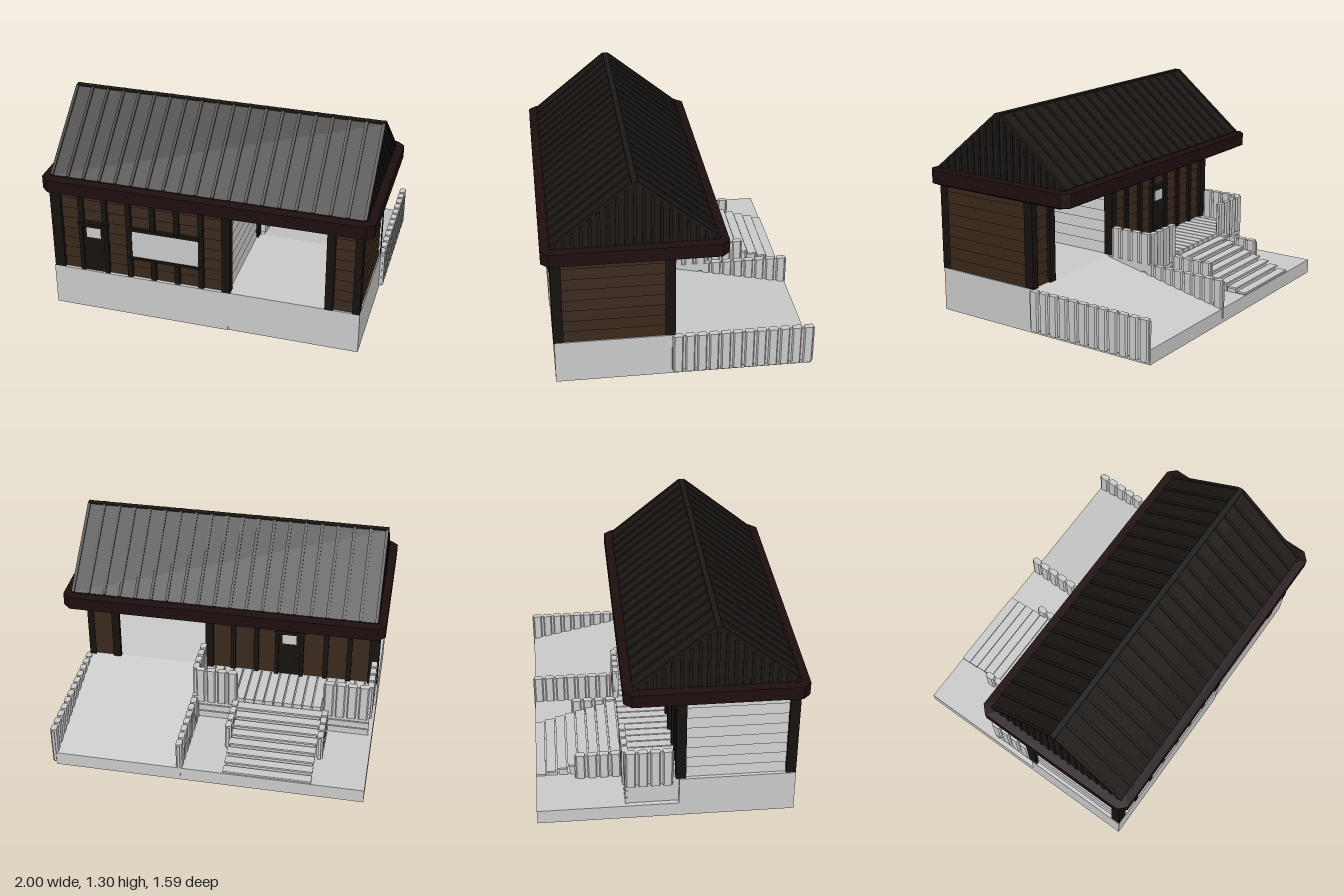
import * as THREE from 'three';

const mat = (color) => new THREE.MeshStandardMaterial({ color, flatShading: true });
const GREY = mat(0xcccccc), WOOD = mat(0x37261a), TIMBER = mat(0x16120f);
const ROOF = mat(0x1c1815), FASCIA = mat(0x1e0e0f);

function add(parent, name, geometry, material) {
  const m = new THREE.Mesh(geometry, material);
  m.name = name;
  parent.add(m);
  return m;
}

// Box given by its limits on each axis
function box(parent, name, material, x0, x1, y0, y1, z0, z1) {
  const m = add(parent, name, new THREE.BoxGeometry(x1 - x0, y1 - y0, z1 - z0), material);
  m.position.set((x0 + x1) / 2, (y0 + y1) / 2, (z0 + z1) / 2);
  return m;
}

// Solid with a (z, y) side profile, running along x
function sideProfile(parent, name, material, points, x0, x1) {
  const shape = new THREE.Shape(points.map(([z, y]) => new THREE.Vector2(-z, y)));
  const g = new THREE.ExtrudeGeometry(shape, { depth: x1 - x0, bevelEnabled: false });
  g.rotateY(Math.PI / 2);
  const m = add(parent, name, g, material);
  m.position.x = x0;
  return m;
}

// Outward face of lapped boards, centred on (x, z) and turned by angle
function siding(parent, name, material, width, x, z, angle, y0 = 0.28, y1 = 0.84, n = 8) {
  const h = y1 - y0, g = new THREE.PlaneGeometry(width, h, 1, 2 * n), p = g.attributes.position;
  for (let i = 0; i < p.count; i++) {
    const row = i >> 1;
    p.setY(i, h / 2 - ((row + 1) >> 1) * h / n);
    p.setZ(i, row % 2 ? 0.008 : 0);
  }
  const m = add(parent, name, g, material);
  m.position.set(x, (y0 + y1) / 2, z);
  m.rotation.y = angle;
}

// Fence of bevelled upright boards on a thin panel, from (x0, z0) to (x1, z1)
function fence(parent, name, x0, z0, x1, z1, y0, y1) {
  const f = new THREE.Group();
  f.name = name;
  const len = Math.hypot(x1 - x0, z1 - z0), n = Math.round(len / 0.07), step = len / n;
  box(f, 'fencePanel', GREY, 0, len, y0 + 0.01, y1 - 0.01, -0.008, 0.008);
  const a = step * 0.4, b = step * 0.3, d = 0.019;
  const outline = [[-a, -0.008], [-b, -d], [b, -d], [a, -0.008], [a, 0.008], [b, d], [-b, d], [-a, 0.008]];
  const shape = new THREE.Shape(outline.map(([x, y]) => new THREE.Vector2(x, y)));
  const g = new THREE.ExtrudeGeometry(shape, { depth: y1 - y0, bevelEnabled: false });
  g.rotateX(-Math.PI / 2);
  for (let i = 0; i < n; i++) add(f, 'fenceBoard', g, GREY).position.set((i + 0.5) * step, y0, 0);
  f.position.set(x0, 0, z0);
  f.rotation.y = Math.atan2(z0 - z1, x1 - x0);
  parent.add(f);
}

// Door with frame, leaf, small pane and knob; side is +1 for front, -1 for back
function door(parent, name, x, z, side) {
  const d = new THREE.Group();
  d.name = name;
  box(d, 'doorLeaf', TIMBER, -0.08, 0.08, 0.28, 0.6, -0.01, 0.012);
  for (const s of [-1, 1]) box(d, 'doorJamb', TIMBER, s * 0.08 - 0.012, s * 0.08 + 0.012, 0.28, 0.61, -0.01, 0.026);
  box(d, 'doorHead', TIMBER, -0.095, 0.095, 0.595, 0.62, -0.01, 0.028);
  box(d, 'doorPane', GREY, -0.045, 0.045, 0.52, 0.59, 0, 0.018);
  add(d, 'doorKnob', new THREE.SphereGeometry(0.008, 8, 6), TIMBER).position.set(0.05, 0.42, 0.018);
  d.position.set(x, 0, z);
  if (side < 0) d.rotation.y = Math.PI;
  parent.add(d);
}

// Rings of a chamfered rectangle joined into the eave trim
function eaveGeometry() {
  const rings = [[0.065, 0.84], [0.05, 0.805], [0, 0.83], [0, 0.91], [0.065, 0.915]];
  const pos = [], idx = [], zc = 0.26;
  for (const [inset, y] of rings) {
    const X = 1 - inset, Z = 0.53 - inset, c = 0.045;
    const corners = [[X, Z - c], [X - c, Z], [-X + c, Z], [-X, Z - c], [-X, -Z + c], [-X + c, -Z], [X - c, -Z], [X, -Z + c]];
    for (const [x, z] of corners) pos.push(x, y, z + zc);
  }
  for (let r = 0; r < rings.length - 1; r++) for (let i = 0; i < 8; i++) {
    const a = r * 8 + i, b = r * 8 + (i + 1) % 8;
    idx.push(a, a + 8, b, b, a + 8, b + 8);
  }
  const g = new THREE.BufferGeometry();
  g.setAttribute('position', new THREE.Float32BufferAttribute(pos, 3));
  g.setIndex(idx);
  g.computeVertexNormals();
  return g;
}

export function createModel() {
  const model = new THREE.Group();
  const part = (name) => { const g = new THREE.Group(); g.name = name; model.add(g); return g; };

  // Foundations, low slab and ramp
  const base = part('base');
  box(base, 'houseFoundation', GREY, -0.97, 0.14, 0.01, 0.28, 0.05, 0.74);
  box(base, 'bayFloor', GREY, 0.14, 0.94, 0.01, 0.28, 0.05, 0.735);
  box(base, 'rearSlab', GREY, -0.97, 0.17, 0.01, 0.1, -0.79, 0.05);
  sideProfile(base, 'ramp', GREY, [[0.05, 0.01], [0.05, 0.28], [-0.79, 0.1], [-0.79, 0.01]], 0.17, 0.94);

  // Enclosed room
  const house = part('house');
  siding(house, 'frontWall', WOOD, 1.08, -0.4, 0.712, 0);
  siding(house, 'backWall', WOOD, 1.08, -0.4, 0.058, Math.PI);
  siding(house, 'endWall', GREY, 0.66, -0.94, 0.385, -Math.PI / 2);
  siding(house, 'partitionWall', GREY, 0.66, 0.135, 0.385, Math.PI / 2);
  for (const [z0, z1] of [[0.68, 0.74], [0.03, 0.09]]) {
    box(house, 'cornerPost', TIMBER, -0.965, -0.9, 0.28, 0.84, z0, z1);
    box(house, 'cornerPost', TIMBER, 0.105, 0.155, 0.28, 0.84, z0, z1);
  }
  for (let i = 0; i < 6; i++) {
    const x = -0.775 + i * 0.15;
    const doorway = i < 2 ? 0.6 : 0.28;
    box(house, 'frontBatten', TIMBER, x - 0.016, x + 0.016, doorway, 0.84, 0.705, 0.735);
    box(house, 'backBatten', TIMBER, x - 0.016, x + 0.016, i === 2 || i === 3 ? 0.6 : 0.28, 0.84, 0.035, 0.065);
  }
  door(house, 'frontDoor', -0.7, 0.715, 1);
  door(house, 'backDoor', -0.39, 0.055, -1);
  box(house, 'windowPane', GREY, -0.455, -0.04, 0.43, 0.615, 0.7, 0.737);
  box(house, 'windowHead', TIMBER, -0.465, -0.03, 0.612, 0.632, 0.7, 0.742);
  box(house, 'windowSill', TIMBER, -0.465, -0.03, 0.415, 0.433, 0.7, 0.742);

  // Far wall of the open bay: outward faces only
  const bay = part('bayWall');
  siding(bay, 'bayEndWall', WOOD, 0.62, 0.925, 0.385, Math.PI / 2);
  for (const s of [-1, 1]) {
    const z = 0.385 + s * 0.355, turn = s > 0 ? 0 : Math.PI;
    siding(bay, 'bayReturn', WOOD, 0.15, 0.84, z - s * 0.025, turn);
    box(bay, 'bayOpeningPost', TIMBER, 0.73, 0.78, 0.28, 0.84, Math.min(z, z - s * 0.03), Math.max(z, z - s * 0.03));
    const face = (w, x, zz, angle) => {
      const m = add(bay, 'bayCornerPost', new THREE.PlaneGeometry(w, 0.56), TIMBER);
      m.position.set(x, 0.56, zz);
      m.rotation.y = angle;
    };
    face(0.045, 0.9175, z, turn);
    face(0.06, 0.94, z - s * 0.03, Math.PI / 2);
  }

  // Gable roof with standing seams, gable battens, eave trim and soffit
  const roof = part('roof');
  sideProfile(roof, 'roofBody', ROOF, [[0.735, 0.9], [0.735, 0.92], [0.275, 1.295], [0.245, 1.295], [-0.215, 0.92], [-0.215, 0.9]], -0.945, 0.945);
  const rise = 0.375, run = 0.46, slope = Math.hypot(rise, run);
  for (let i = 0; i <= 19; i++) for (const s of [-1, 1]) {
    const seam = add(roof, 'roofSeam', new THREE.BoxGeometry(0.018, 0.016, slope), ROOF);
    seam.position.set(-0.94 + i * 1.88 / 19, 1.108, 0.26 + s * (0.015 + run / 2));
    seam.rotation.x = s * Math.atan2(rise, run);
  }
  box(roof, 'ridgeCap', ROOF, -0.95, 0.95, 1.28, 1.302, 0.243, 0.277);
  for (let i = -9; i <= 9; i++) {
    const z = 0.26 + i * 0.05, top = 1.29 - Math.max(0, Math.abs(i * 0.05) - 0.005) * rise / run;
    for (const s of [-1, 1]) box(roof, 'gableBatten', ROOF, s * 0.945 - 0.007, s * 0.945 + 0.007, 0.9, top, z - 0.009, z + 0.009);
  }
  add(roof, 'eaveTrim', eaveGeometry(), FASCIA);
  box(roof, 'soffit', TIMBER, -0.94, 0.94, 0.835, 0.85, -0.21, 0.73);

  // Raised deck with plank floor and boarded skirt
  const deck = part('deck');
  box(deck, 'deckCore', GREY, -0.94, 0.15, 0.09, 0.262, -0.26, 0.05);
  for (let i = 0; i < 18; i++) {
    const x = -0.945 + i * 1.1 / 18;
    box(deck, 'deckPlank', GREY, x, x + 0.053, 0.25, 0.28, -0.27, 0.05);
  }
  for (let i = 0; i < 3; i++) box(deck, 'skirtBoard', GREY, -0.945, 0.155, 0.1 + i * 0.05, 0.143 + i * 0.05, -0.268, -0.25);
  fence(deck, 'deckRailBack', 0.16, -0.265, -0.11, -0.265, 0.23, 0.475);
  fence(deck, 'deckRailBack', -0.65, -0.265, -0.94, -0.265, 0.23, 0.475);
  for (const x of [0.16, -0.94]) fence(deck, 'deckRailSide', x, 0.02, x, -0.27, 0.23, 0.475);

  // Steps down to the slab
  const stairs = part('stairs');
  for (let i = 0; i < 8; i++) {
    const z = -0.27 - i * 0.065, y = 0.258 - i * 0.02;
    box(stairs, 'riser', GREY, -0.64, -0.12, i % 2 ? 0.05 : 0, y - 0.008, z - 0.055, z);
    box(stairs, 'tread', GREY, -0.65, -0.11, y - 0.012, y, z - 0.065, z - 0.008);
  }
  for (const x of [-0.67, -0.1]) fence(stairs, 'stairRail', x, -0.27, x, -0.555, 0.08, 0.27);

  // Fences along the ramp
  for (const x of [0.16, 0.945]) fence(model, 'rampFence', x, 0.05, x, -0.795, 0.03, 0.28);

  return model;
}
